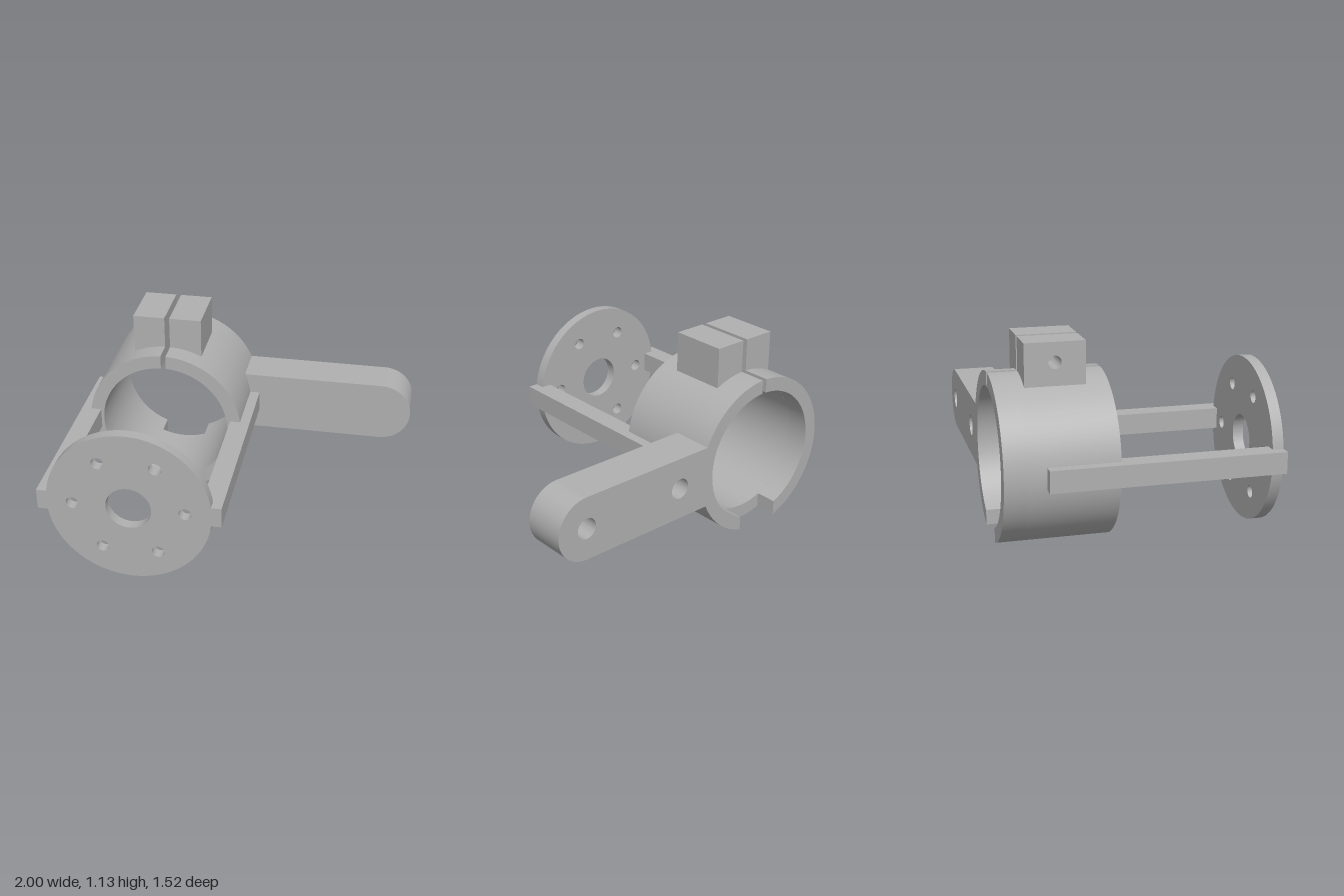
import * as THREE from 'three';
import { toCreasedNormals } from 'three/addons/utils/BufferGeometryUtils.js';

const CX = -0.475, CY = 0.47, R = 0.47, BORE = 0.388;
const BACK = -0.762, FRONT = 0.762;

export function createModel() {
  const group = new THREE.Group();
  const grey = new THREE.MeshStandardMaterial({ color: 0xb0b0b0 });
  grey.name = 'grey';

  function add(name, geometry) {
    const mesh = new THREE.Mesh(geometry, grey);
    mesh.name = name;
    group.add(mesh);
    return mesh;
  }

  // Extrude an xy outline between two z positions
  function slab(name, shape, z0, z1) {
    const g = new THREE.ExtrudeGeometry(shape, { depth: z1 - z0, bevelEnabled: false, curveSegments: 48 });
    g.translate(0, 0, z0);
    return add(name, toCreasedNormals(g, 0.5));
  }

  function box(name, x0, x1, y0, y1, z0, z1) {
    const g = new THREE.BoxGeometry(x1 - x0, y1 - y0, z1 - z0);
    g.translate((x0 + x1) / 2, (y0 + y1) / 2, (z0 + z1) / 2);
    return add(name, g);
  }

  function hole(shape, x, y, r) {
    shape.holes.push(new THREE.Path().absarc(x, y, r, 0, Math.PI * 2, true));
  }

  // Ring sector whose ends are cut parallel to y at the given half widths
  function sector(a0, half0, a1, half1) {
    const s = new THREE.Shape();
    s.absarc(CX, CY, R, a0 + Math.asin(half0 / R), a1 - Math.asin(half1 / R), false);
    s.absarc(CX, CY, BORE, a1 - Math.asin(half1 / BORE), a0 + Math.asin(half0 / BORE), true);
    s.closePath();
    return s;
  }

  // Front mounting disc with centre hole and six bolt holes
  const disc = new THREE.Shape().absarc(CX, CY, R, 0, Math.PI * 2, false);
  hole(disc, CX, CY, 0.13);
  for (let i = 0; i < 6; i++) {
    const a = i * Math.PI / 3;
    hole(disc, CX + 0.321 * Math.cos(a), CY + 0.321 * Math.sin(a), 0.036);
  }
  slab('mountingDisc', disc, 0.70, FRONT);

  // Clamp ring: slit along the top, notch at the bottom of the rear end
  const top = Math.PI / 2, bottom = Math.PI * 1.5, slit = 0.015, notch = 0.142;
  slab('clampRing', sector(top, slit, top + Math.PI * 2, slit), -0.635, -0.14);
  slab('clampRingRearRight', sector(top, slit, bottom, notch), BACK, -0.635);
  slab('clampRingRearLeft', sector(bottom, notch, top + Math.PI * 2, slit), BACK, -0.635);

  // Side rails joining disc and ring
  box('railRight', -1, -0.88, 0.41, 0.532, -0.535, FRONT);
  box('railLeft', -0.07, 0.05, 0.41, 0.532, -0.535, FRONT);

  // Clamp lugs, the right one with a screw hole
  box('lugLeft', CX + slit, -0.268, 0.87, 1.13, -0.598, -0.265);
  const lug = new THREE.Shape();
  lug.moveTo(0.265, 0.87).lineTo(0.598, 0.87).lineTo(0.598, 1.13).lineTo(0.265, 1.13).closePath();
  hole(lug, 0.432, 1.02, 0.036);
  const lugMesh = slab('lugRight', lug, -0.68, CX - slit);
  lugMesh.geometry.rotateY(Math.PI / 2);

  // Side arm with rounded tip and two blind holes from the back
  function armShape() {
    const s = new THREE.Shape();
    s.moveTo(-0.06, CY - 0.185);
    s.lineTo(0.815, CY - 0.185);
    s.absarc(0.815, CY, 0.185, -Math.PI / 2, Math.PI / 2, false);
    s.lineTo(-0.06, CY + 0.185);
    s.closePath();
    return s;
  }
  const drilled = armShape();
  for (const x of [0.16, 0.815]) hole(drilled, x, CY, 0.06);
  slab('armBack', drilled, BACK, -0.575);
  slab('armFront', armShape(), -0.575, -0.516);

  return group;
}
